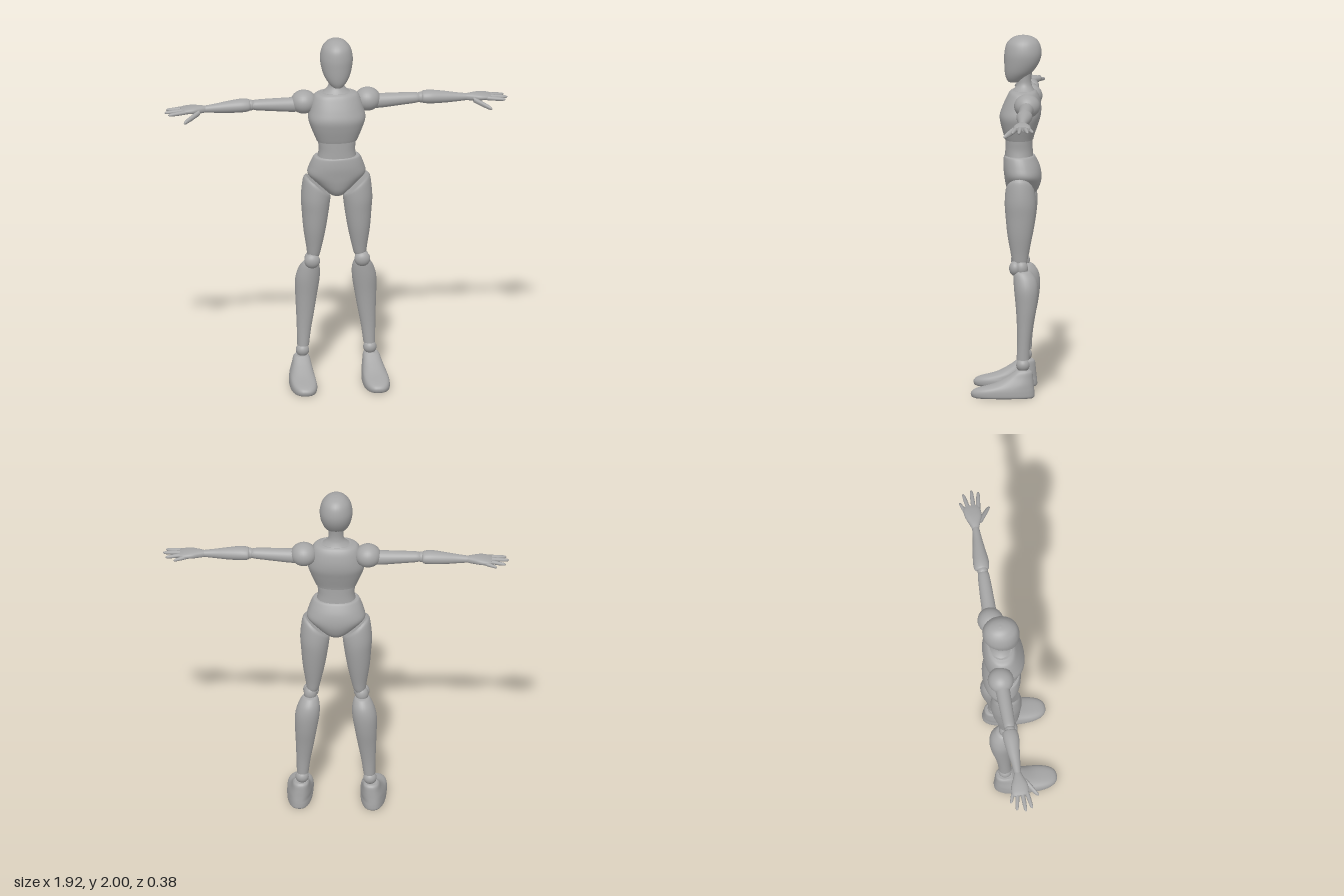
import * as THREE from 'three';

const body = new THREE.MeshStandardMaterial({ color: 0xa6a6a6 });
body.name = 'matte grey';

// Smooth loft through oval sections [t, uMin, uMax, wMin, wMax, tilt].
// axis 'y': u = x, t = y, w = z.   axis 'x': t = x, w = y, u = z.
function loft(rows, { axis = 'y', power = 2, egg = 0, seg = 28, steps = 5 } = {}) {
  const size = 6;
  const flat = rows.flatMap((r) => [...r, ...Array(size - r.length).fill(0)]);
  const spline = new THREE.CubicInterpolant(rows.map((_, i) => i), flat, size, new Float32Array(size));
  const pos = [], index = [];
  const put = (u, t, w) => (axis === 'y' ? pos.push(u, t, w) : pos.push(t, w, u));
  const bend = (c) => Math.sign(c) * Math.abs(c) ** (2 / power);
  const ring = (at) => {
    const [t, u0, u1, w0, w1, tilt] = spline.evaluate(at);
    for (let j = 0; j < seg; j++) {
      const a = (j / seg) * Math.PI * 2;
      const w = bend(Math.sin(a));
      const du = bend(Math.cos(a)) * (u1 - u0) / 2 * (1 + egg * w);
      put((u0 + u1) / 2 + du, t + tilt * du, (w0 + w1) / 2 + w * (w1 - w0) / 2);
    }
    return [(u0 + u1) / 2, t, (w0 + w1) / 2];
  };
  const flip = rows[0][0] > rows[rows.length - 1][0];
  const face = (a, b, c) => (flip ? index.push(a, c, b) : index.push(a, b, c));
  const count = (rows.length - 1) * steps;
  for (let i = 0; i <= count; i++) ring(i / steps);
  for (let i = 0; i < count; i++) {
    for (let j = 0; j < seg; j++) {
      const k = (j + 1) % seg, a = i * seg, b = a + seg;
      face(a + j, b + j, a + k);
      face(a + k, b + j, b + k);
    }
  }
  // end caps have their own vertices so the rim stays sharp
  for (const end of [0, 1]) {
    const start = pos.length / 3;
    put(...ring(end * (rows.length - 1)));
    const mid = start + seg;
    for (let j = 0; j < seg; j++) {
      const k = (j + 1) % seg;
      if (end) face(start + j, mid, start + k);
      else face(start + j, start + k, mid);
    }
  }
  const g = new THREE.BufferGeometry();
  g.setAttribute('position', new THREE.Float32BufferAttribute(pos, 3));
  g.setIndex(index);
  g.computeVertexNormals();
  return g;
}

const ball = (x, y, z, rx, ry = rx, rz = rx) =>
  new THREE.SphereGeometry(1, 28, 18).scale(rx, ry, rz).translate(x, y, z);

// Tapered finger with a rounded tip, from [x, y, z] to [x, y, z]
function finger(a, b, r) {
  const row = (f, s) => {
    const [x, y, z] = a.map((v, i) => v + (b[i] - v) * f);
    return [x, z - r * s, z + r * s, y - r * s, y + r * s];
  };
  return loft([row(0, 1), row(0.5, 0.95), row(0.85, 0.75), row(0.96, 0.45), row(1, 0.02)],
    { axis: 'x', seg: 12, steps: 3 });
}

function mirrored(geometry) {
  const g = geometry.clone().scale(-1, 1, 1);
  const id = g.index.array;
  for (let i = 0; i < id.length; i += 3) [id[i], id[i + 1]] = [id[i + 1], id[i]];
  return g;
}

export function createModel() {
  const model = new THREE.Group();
  model.name = 'jointedMannequin';
  const add = (name, geometry) => {
    const mesh = new THREE.Mesh(geometry, body);
    mesh.name = name;
    model.add(mesh);
  };
  const pair = (name, geometry) => {
    add(name + 'Left', geometry);
    add(name + 'Right', mirrored(geometry));
  };

  // Head, neck and trunk
  add('head', loft([
    [1.735, -0.012, 0.012, -0.04, -0.008], [1.74, -0.03, 0.03, -0.07, 0.0],
    [1.765, -0.053, 0.053, -0.105, 0.012], [1.8, -0.073, 0.073, -0.143, 0.018],
    [1.85, -0.087, 0.087, -0.175, 0.02], [1.9, -0.091, 0.091, -0.187, 0.019],
    [1.95, -0.079, 0.079, -0.178, 0.008], [1.98, -0.056, 0.056, -0.155, -0.018],
    [1.995, -0.03, 0.03, -0.122, -0.05], [2, -0.001, 0.001, -0.088, -0.086],
  ]));
  add('neck', loft([
    [1.82, -0.045, 0.045, -0.14, -0.05], [1.76, -0.041, 0.041, -0.13, -0.052],
    [1.725, -0.045, 0.045, -0.132, -0.05], [1.7, -0.065, 0.065, -0.142, -0.035],
    [1.68, -0.095, 0.095, -0.155, -0.015],
  ]));
  add('chest', loft([
    [1.692, -0.085, 0.085, -0.148, -0.022], [1.68, -0.118, 0.118, -0.162, -0.008],
    [1.65, -0.136, 0.136, -0.176, 0.008], [1.6, -0.15, 0.15, -0.185, 0.03],
    [1.55, -0.159, 0.159, -0.182, 0.045], [1.5, -0.146, 0.146, -0.167, 0.038],
    [1.44, -0.122, 0.122, -0.147, 0.022], [1.418, -0.113, 0.113, -0.141, 0.015],
  ], { power: 2.3, seg: 40 }));
  add('waist', loft([
    [1.46, -0.108, 0.108, -0.138, 0.012], [1.41, -0.105, 0.105, -0.137, 0.013],
    [1.36, -0.102, 0.102, -0.138, 0.014], [1.3, -0.112, 0.112, -0.142, 0.016],
  ], { power: 2.2 }));
  add('pelvis', loft([
    [1.328, -0.118, 0.118, -0.144, 0.016], [1.318, -0.131, 0.131, -0.153, 0.022],
    [1.27, -0.151, 0.151, -0.176, 0.025], [1.22, -0.161, 0.161, -0.186, 0.02],
    [1.175, -0.122, 0.122, -0.182, 0.014], [1.13, -0.073, 0.073, -0.162, 0.002],
    [1.1, -0.04, 0.04, -0.125, -0.02], [1.092, -0.018, 0.018, -0.1, -0.045],
  ], { power: 2.2, seg: 40 }));

  // Legs
  pair('thigh', loft([
    [1.155, 0.037, 0.174, -0.142, 0.004, 0.9], [1.135, 0.035, 0.188, -0.153, 0.01, 0.7],
    [1.07, 0.038, 0.199, -0.16, 0.013, 0.2], [1.0, 0.045, 0.194, -0.156, 0.008],
    [0.9, 0.061, 0.186, -0.141, -0.002], [0.8, 0.082, 0.171, -0.121, -0.02],
    [0.745, 0.096, 0.163, -0.111, -0.031], [0.728, 0.108, 0.152, -0.1, -0.042],
  ]));
  pair('kneeCap', ball(0.14, 0.714, -0.046, 0.044, 0.043, 0.034));
  pair('kneeJoint', ball(0.143, 0.714, -0.08, 0.036, 0.045, 0.037));
  pair('shin', loft([
    [0.7, 0.115, 0.172, -0.12, -0.048], [0.69, 0.1, 0.189, -0.138, -0.037],
    [0.65, 0.09, 0.211, -0.164, -0.037], [0.59, 0.091, 0.226, -0.173, -0.041],
    [0.5, 0.105, 0.226, -0.165, -0.05], [0.4, 0.122, 0.222, -0.146, -0.056],
    [0.3, 0.14, 0.219, -0.131, -0.058], [0.208, 0.152, 0.217, -0.125, -0.055],
  ]));
  pair('ankle', ball(0.188, 0.178, -0.09, 0.037));
  pair('foot', loft([
    [0, 0.14, 0.266, -0.148, 0.18], [0.008, 0.132, 0.274, -0.155, 0.194],
    [0.03, 0.13, 0.275, -0.155, 0.196], [0.05, 0.133, 0.272, -0.153, 0.168],
    [0.075, 0.137, 0.263, -0.15, 0.075], [0.11, 0.144, 0.249, -0.147, 0.008],
    [0.14, 0.15, 0.239, -0.143, -0.036], [0.152, 0.158, 0.229, -0.132, -0.052],
  ], { power: 2.5, egg: 0.08, seg: 36 }));

  // Arms
  pair('shoulder', ball(0.178, 1.63, -0.113, 0.073, 0.066, 0.072));
  pair('upperArm', loft([
    [0.2, -0.152, -0.07, 1.575, 1.66], [0.26, -0.15, -0.071, 1.577, 1.658],
    [0.36, -0.146, -0.073, 1.587, 1.657], [0.44, -0.141, -0.076, 1.595, 1.655],
    [0.465, -0.136, -0.081, 1.601, 1.65],
  ], { axis: 'x' }));
  pair('elbow', ball(0.476, 1.626, -0.109, 0.03));
  pair('forearm', loft([
    [0.478, -0.142, -0.08, 1.6, 1.652], [0.49, -0.153, -0.07, 1.592, 1.66],
    [0.53, -0.154, -0.066, 1.588, 1.663], [0.6, -0.145, -0.074, 1.588, 1.655],
    [0.67, -0.133, -0.082, 1.592, 1.644], [0.735, -0.126, -0.088, 1.597, 1.635],
  ], { axis: 'x' }));
  pair('palm', loft([
    [0.725, -0.125, -0.089, 1.598, 1.634], [0.76, -0.138, -0.076, 1.595, 1.638],
    [0.8, -0.154, -0.062, 1.596, 1.638], [0.84, -0.158, -0.063, 1.599, 1.633],
    [0.864, -0.15, -0.072, 1.604, 1.627],
  ], { axis: 'x', power: 2.3 }));
  const fingers = [
    ['indexFinger', [0.83, 1.614, -0.077], [0.943, 1.606, -0.059], 0.0125],
    ['middleFinger', [0.83, 1.616, -0.1], [0.958, 1.608, -0.096], 0.0125],
    ['ringFinger', [0.83, 1.616, -0.124], [0.943, 1.608, -0.144], 0.012],
    ['littleFinger', [0.82, 1.613, -0.143], [0.896, 1.604, -0.17], 0.011],
    ['thumb', [0.765, 1.607, -0.08], [0.862, 1.57, -0.012], 0.0165],
  ];
  for (const [name, from, to, r] of fingers) pair(name, finger(from, to, r));

  return model;
}
